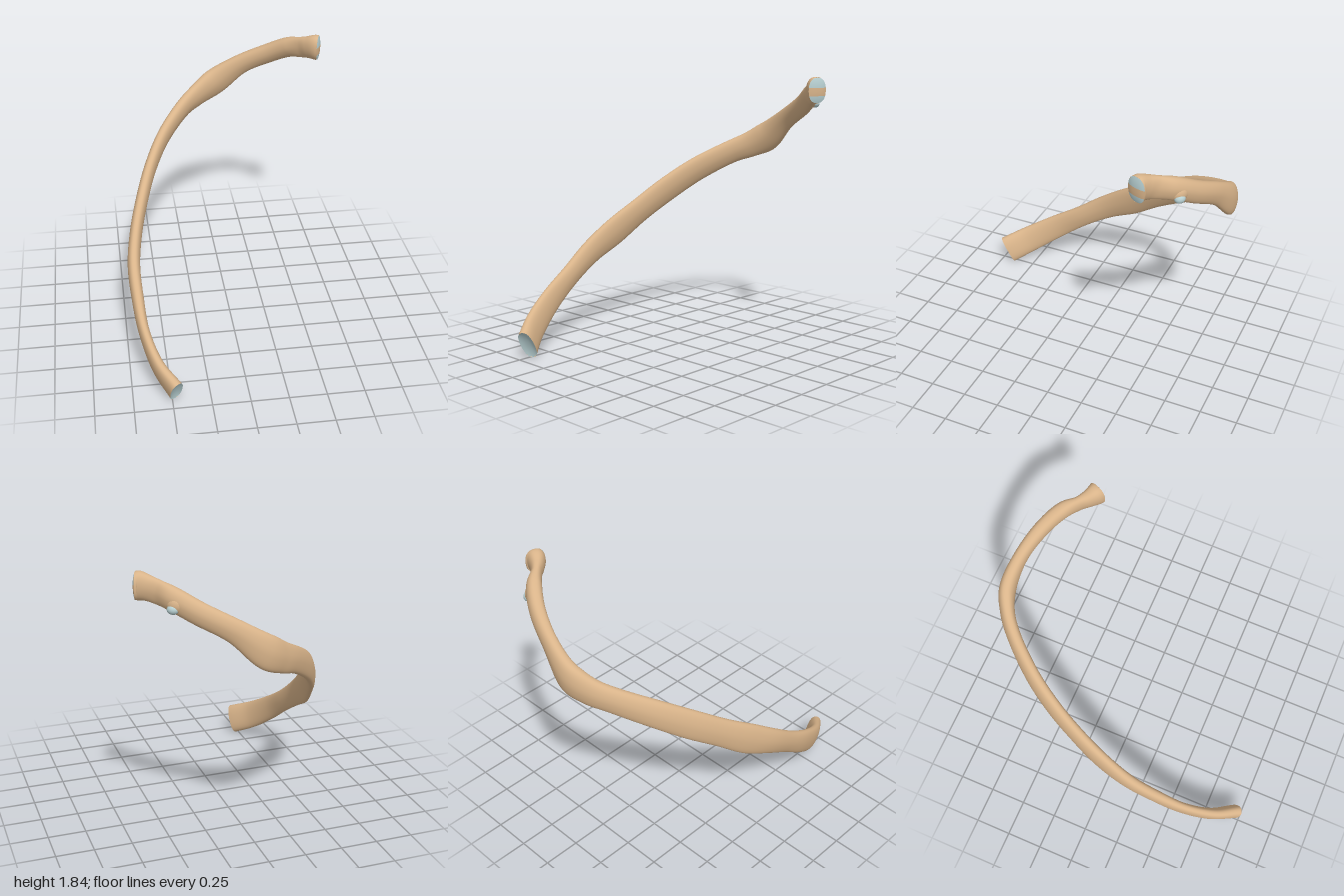
import * as THREE from 'three';

// Stations along the rib: x, y, z of the centre, half height, half thickness, forward lean
const STATIONS = [
  [-0.475, 0.11, 0.95, 0.108, 0.048, 0.40],
  [-0.575, 0.195, 0.80, 0.102, 0.040, 0.50],
  [-0.645, 0.325, 0.60, 0.090, 0.036, 0.55],
  [-0.670, 0.46, 0.40, 0.080, 0.040, 0.55],
  [-0.677, 0.595, 0.20, 0.090, 0.042, 0.55],
  [-0.645, 0.72, 0.00, 0.105, 0.042, 0.55],
  [-0.585, 0.86, -0.20, 0.096, 0.042, 0.50],
  [-0.505, 1.00, -0.40, 0.097, 0.042, 0.45],
  [-0.390, 1.14, -0.60, 0.092, 0.043, 0.35],
  [-0.220, 1.27, -0.80, 0.086, 0.045, 0.20],
  [-0.110, 1.325, -0.885, 0.095, 0.048, 0.12],
  [0.010, 1.39, -0.932, 0.105, 0.055, 0.10],
  [0.200, 1.53, -0.91, 0.074, 0.046, 0.10],
  [0.400, 1.64, -0.835, 0.070, 0.050, 0.15],
  [0.530, 1.715, -0.745, 0.072, 0.050, 0.15],
  [0.595, 1.74, -0.67, 0.074, 0.036, 0.10],
  [0.640, 1.755, -0.625, 0.078, 0.046, 0.05],
  [0.685, 1.765, -0.592, 0.088, 0.060, 0.00],
  [0.705, 1.765, -0.584, 0.084, 0.066, 0.00],
];
const POWER = 0.85; // squareness of the oval section
const path = new THREE.CatmullRomCurve3(STATIONS.map((s) => new THREE.Vector3(s[0], s[1], s[2])));
const sizes = new THREE.CatmullRomCurve3(
  STATIONS.map((s) => new THREE.Vector3(s[3], s[4], s[5])), false, 'catmullrom', 0.5);

const signedPow = (v) => Math.sign(v) * Math.abs(v) ** POWER;

// Centre, tangent, up and side directions of the section at u
function frameAt(u) {
  const size = sizes.getPoint(u);
  const tangent = path.getTangent(u);
  const up = new THREE.Vector3(0, 0.9, size.z);
  up.addScaledVector(tangent, -up.dot(tangent)).normalize();
  const side = new THREE.Vector3().crossVectors(tangent, up);
  return { centre: path.getPoint(u), tangent, up, side, h: size.x, t: size.y };
}

// Surface from a grid of points; rows close on themselves when wrap is set
function gridGeometry(rows, wrap) {
  const n = rows[0].length;
  const index = [];
  for (let i = 0; i < rows.length - 1; i++) {
    for (let j = 0; j < (wrap ? n : n - 1); j++) {
      const k = (j + 1) % n;
      const a = i * n + j, b = (i + 1) * n + j, c = (i + 1) * n + k, d = i * n + k;
      index.push(a, b, d, b, c, d);
    }
  }
  const geometry = new THREE.BufferGeometry().setFromPoints(rows.flat());
  geometry.setIndex(index);
  geometry.computeVertexNormals();
  return geometry;
}

// Oval sections swept along the path, thinner towards the lower border
function shaftGeometry() {
  const rows = [];
  const steps = 180, around = 36;
  for (let i = 0; i <= steps; i++) {
    const u = i / steps;
    const f = frameAt(u);
    const fade = Math.min(1, 6 * u, 6 * (1 - u));
    const row = [];
    for (let j = 0; j < around; j++) {
      const a = (j / around) * Math.PI * 2;
      const v = signedPow(Math.sin(a));
      const w = signedPow(Math.cos(a)) * (1 - 0.3 * fade * Math.max(0, -v));
      row.push(f.centre.clone().addScaledVector(f.up, v * f.h).addScaledVector(f.side, w * f.t));
    }
    rows.push(row);
  }
  return gridGeometry(rows, true);
}

// Part of an end surface between heights v0 and v1, domed along the tangent
function capGeometry(u, v0, v1, bulge) {
  const f = frameAt(u);
  const rows = [];
  for (let i = 0; i <= 16; i++) {
    const v = v0 + ((v1 - v0) * i) / 16;
    const width = Math.max(0, 1 - Math.abs(v) ** (2 / POWER)) ** (POWER / 2);
    const row = [];
    for (let j = 0; j <= 12; j++) {
      const s = (j / 6 - 1) * width;
      const r = Math.abs(v) ** (2 / POWER) + Math.abs(s) ** (2 / POWER);
      row.push(f.centre.clone().addScaledVector(f.up, v * f.h).addScaledVector(f.side, s * f.t)
        .addScaledVector(f.tangent, bulge * Math.max(0, 1 - r)));
    }
    rows.push(row);
  }
  return gridGeometry(rows, false);
}

export function createModel() {
  const group = new THREE.Group();
  group.name = 'rib';
  const bone = new THREE.MeshStandardMaterial({ color: 0xd9b48a, side: THREE.DoubleSide });
  const cartilage = new THREE.MeshStandardMaterial({ color: 0xb8d0d2, side: THREE.DoubleSide });
  const add = (name, geometry, material) => {
    const mesh = new THREE.Mesh(geometry, material);
    mesh.name = name;
    group.add(mesh);
    return mesh;
  };

  add('shaft', shaftGeometry(), bone);

  // Hollowed front end
  add('frontEndSurface', capGeometry(0, -1, 1, 0.015), cartilage);

  // Head: two joint facets with a crest between them
  add('lowerHeadFacet', capGeometry(1, -1, -0.45, 0.012), cartilage);
  add('headCrest', capGeometry(1, -0.45, 0.2, 0.012), bone);
  add('upperHeadFacet', capGeometry(1, 0.2, 1, 0.012), cartilage);

  // Tubercle behind the neck, with its joint facet
  const bump = new THREE.SphereGeometry(1, 28, 18);
  const tubercle = add('tubercle', bump, bone);
  tubercle.position.set(0.515, 1.685, -0.775);
  tubercle.scale.set(0.058, 0.055, 0.046);
  tubercle.rotation.y = -0.6;
  const facet = add('tubercleFacet', bump, cartilage);
  facet.position.set(0.54, 1.663, -0.789);
  facet.scale.set(0.036, 0.03, 0.03);
  facet.rotation.y = -0.6;
  return group;
}
